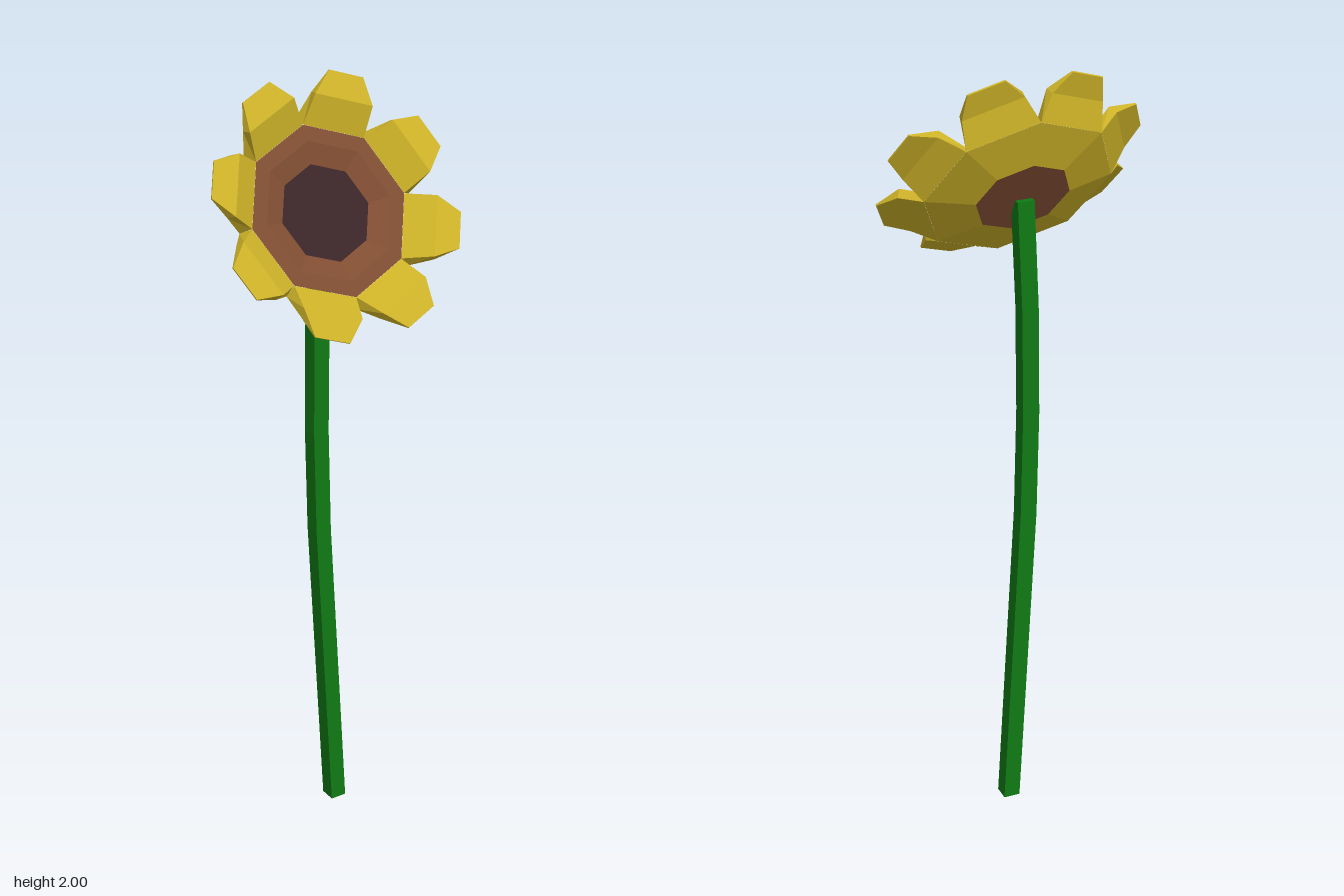
import * as THREE from 'three';

const mat = (name, color) => {
  const m = new THREE.MeshStandardMaterial({ color, flatShading: true });
  m.name = name;
  return m;
};

// Surface between petal cross-sections: x across, y towards the face, z outwards
function petalGeometry() {
  // [front radius, front height, front half width, back radius, back height, back half width]
  const sections = [
    [0.199, 0, 0.082, 0.222, -0.02, 0.092],
    [0.264, 0.049, 0.077, 0.275, 0.026, 0.077],
    [0.329, 0.052, 0.046, 0.329, 0.048, 0.046],
  ];
  const pos = [], idx = [];
  for (const [fr, fn, fh, br, bn, bh] of sections) {
    pos.push(-fh, fn, fr, fh, fn, fr, bh, bn, br, -bh, bn, br);
  }
  for (let s = 0; s < sections.length - 1; s++) {
    for (let k = 0; k < 4; k++) {
      const a = s * 4 + k, b = s * 4 + (k + 1) % 4;
      idx.push(a, b + 4, b, a, a + 4, b + 4);
    }
  }
  const e = (sections.length - 1) * 4;
  idx.push(e, e + 3, e + 2, e, e + 2, e + 1); // tip
  const g = new THREE.BufferGeometry();
  g.setAttribute('position', new THREE.Float32BufferAttribute(pos, 3));
  g.setIndex(idx);
  g.computeVertexNormals();
  return g;
}

export function createModel() {
  const yellow = mat('petal yellow', 0xcdb228);
  const brown = mat('seed brown', 0x7f4d32);
  const dark = mat('dark centre', 0x3a2628);
  const green = mat('stem green', 0x0f7a14);

  const model = new THREE.Group();
  model.name = 'flower';

  // Square stem with a gentle sideways bend
  const height = 1.67;
  const stemGeo = new THREE.BoxGeometry(0.043, height, 0.043, 1, 6, 1);
  stemGeo.translate(0, height / 2, 0);
  const bend = [0.033, 0.018, 0.003, -0.012, -0.018, -0.015, -0.003];
  const p = stemGeo.attributes.position;
  for (let i = 0; i < p.count; i++) {
    p.setX(i, p.getX(i) + bend[Math.round(p.getY(i) / height * 6)]);
  }
  stemGeo.computeVertexNormals();
  const stem = new THREE.Mesh(stemGeo, green);
  stem.name = 'stem';
  stem.position.z = -0.068;
  model.add(stem);

  // Tilted head, its face pointing along local +y
  const head = new THREE.Group();
  head.name = 'flowerHead';
  head.position.set(0, 1.703, -0.035);
  head.rotation.x = 1.0;
  model.add(head);

  // Eight-sided rings of the head, from the back to the sunken centre
  const ring = (name, material, points) => {
    const profile = points.map(([r, y]) => new THREE.Vector2(r, y));
    const mesh = new THREE.Mesh(new THREE.LatheGeometry(profile, 8), material);
    mesh.name = name;
    head.add(mesh);
  };
  ring('backDisc', brown, [[0, -0.05], [0.12, -0.05]]);
  ring('cup', yellow, [[0.12, -0.05], [0.24, -0.02]]);
  ring('seedRim', brown, [[0.215, 0], [0.175, 0], [0.122, -0.02]]);
  ring('seedCentre', dark, [[0.122, -0.02], [0, -0.02]]);

  // One petal on each side of the octagon
  const petalGeo = petalGeometry();
  for (let i = 0; i < 8; i++) {
    const petal = new THREE.Mesh(petalGeo, yellow);
    petal.name = 'petal' + (i + 1);
    petal.rotation.y = (i + 0.5) * Math.PI / 4;
    head.add(petal);
  }
  return model;
}
